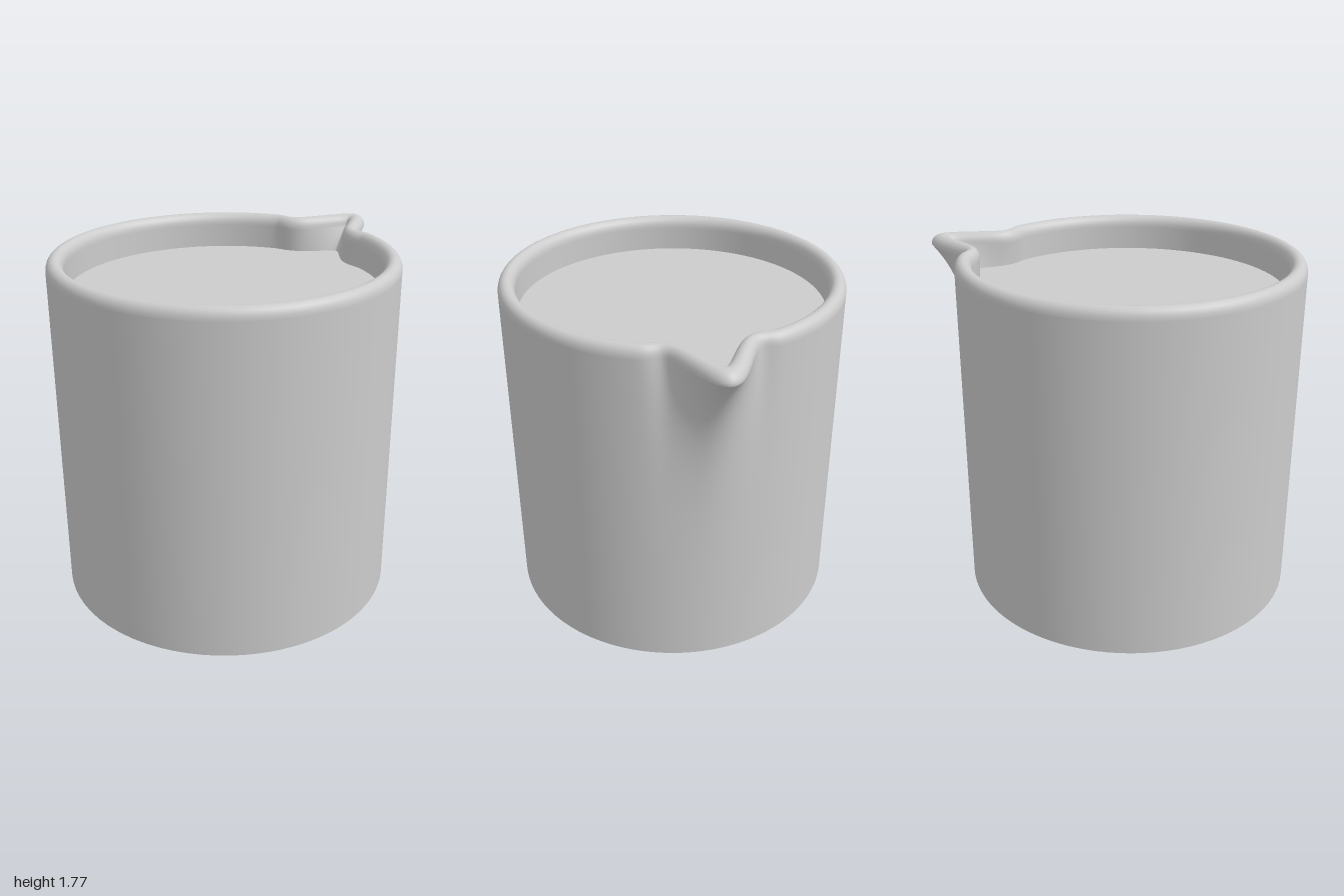
import * as THREE from 'three';

const SEG = 160, CX = -0.13, RADIUS = 0.87, LIP_Y = 1.72, TOP = 1.773;
const bump = (a, w) => Math.exp(-((a / w) ** 2));

// Angles packed closely around the spout at angle 0
const angles = Array.from({ length: SEG }, (_, j) => {
  const u = -1 + (2 * j) / SEG;
  return Math.PI * (0.3 * u + 0.7 * u ** 3);
});

// Outer wall: a cylinder that flares into the spout towards the lip
function outer(a, y) {
  const flare = 0.26 * Math.exp((y - LIP_Y) / 0.22);
  const r = RADIUS + flare * (bump(a, 0.145) - 0.13 * bump(Math.abs(a) - 0.26, 0.07));
  return new THREE.Vector3(CX + r * Math.cos(a), y, -r * Math.sin(a));
}

// Inner wall: the outer wall offset inwards, thinner at the spout
function inner(a, y) {
  const h = y - 0.06;
  const t = outer(a + 0.002, h).sub(outer(a - 0.002, h)).normalize();
  const thick = 0.085 - 0.022 * bump(a, 0.145);
  const p = outer(a, h);
  return new THREE.Vector3(p.x + t.z * thick, y, p.z - t.x * thick);
}

// Smooth surface through closed rings of points
function skin(rings) {
  const pos = [], index = [];
  rings.forEach(ring => ring.forEach(p => pos.push(p.x, p.y, p.z)));
  for (let i = 0; i < rings.length - 1; i++) {
    for (let j = 0; j < SEG; j++) {
      const k = (j + 1) % SEG;
      const a = i * SEG + j, b = i * SEG + k, c = a + SEG, d = b + SEG;
      index.push(a, b, c, b, d, c);
    }
  }
  const geo = new THREE.BufferGeometry();
  geo.setAttribute('position', new THREE.Float32BufferAttribute(pos, 3));
  geo.setIndex(index);
  geo.computeVertexNormals();
  return geo;
}

// Flat sheet filling a ring, facing up
function sheet(ring) {
  const shape = new THREE.Shape(ring.map(p => new THREE.Vector2(p.x, -p.z)));
  return new THREE.ShapeGeometry(shape).rotateX(-Math.PI / 2).translate(0, ring[0].y, 0);
}

export function createModel() {
  const group = new THREE.Group();
  const material = new THREE.MeshStandardMaterial({ color: 0xcccccc });
  const add = (name, geo) => {
    const mesh = new THREE.Mesh(geo, material);
    mesh.name = name;
    group.add(mesh);
  };

  // Jug wall: up the outside, over the rounded rim, down the inside
  const rings = [];
  for (let i = 0; i <= 30; i++) {
    const y = LIP_Y * (1 - (1 - i / 30) ** 1.7);
    rings.push(angles.map(a => outer(a, y)));
  }
  for (let i = 1; i < 12; i++) {
    const f = (i / 12) * Math.PI;
    rings.push(angles.map(a => {
      const p = outer(a, LIP_Y).lerp(inner(a, LIP_Y), (1 - Math.cos(f)) / 2);
      p.y += (TOP - LIP_Y) * Math.sin(f);
      return p;
    }));
  }
  for (let i = 0; i <= 20; i++) {
    const y = LIP_Y - (LIP_Y - 0.08) * (i / 20) ** 1.7;
    rings.push(angles.map(a => inner(a, y)));
  }
  add('jugWall', skin(rings));

  // Inside floor and underside
  add('insideFloor', sheet(angles.map(a => inner(a, 0.08))));
  const base = sheet(angles.map(a => outer(a, 0)));
  base.rotateX(Math.PI);
  add('base', base);

  // Liquid filling the jug to just below the rim
  add('liquid', sheet(angles.map(a => inner(a, 1.59))));
  return group;
}
